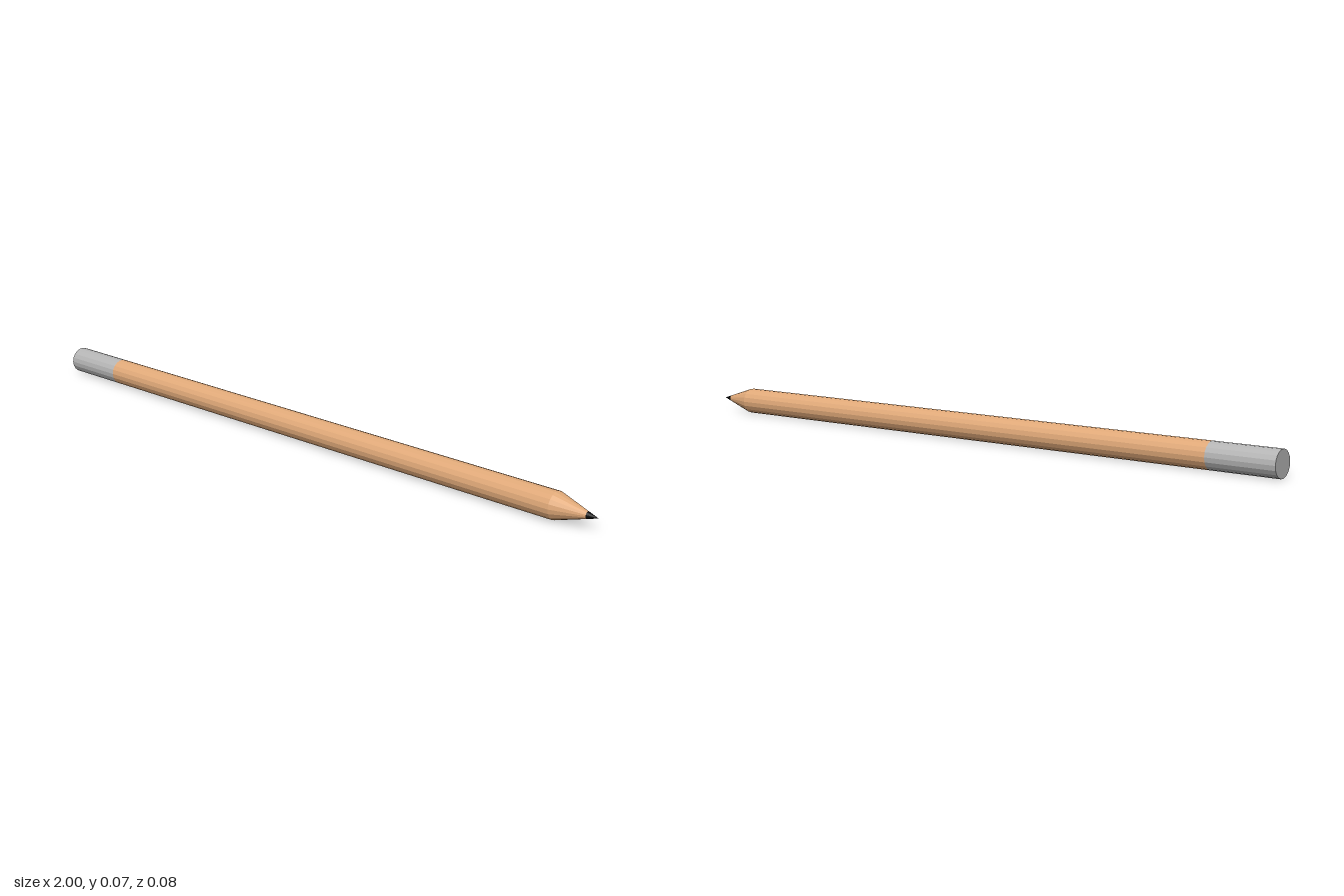
import * as THREE from 'three';

const RADIUS = 0.038;
const SIDES = 18;

const makeMaterial = (name, color) => {
  const material = new THREE.MeshStandardMaterial({ color, flatShading: true });
  material.name = name;
  return material;
};

// A round section lying along x, with a radius for each end
function section(name, x0, x1, r0, r1, material, open) {
  const geometry = new THREE.CylinderGeometry(r1, r0, x1 - x0, SIDES, 1, open);
  geometry.rotateZ(-Math.PI / 2);
  geometry.translate((x0 + x1) / 2, RADIUS, 0);
  const mesh = new THREE.Mesh(geometry, material);
  mesh.name = name;
  return mesh;
}

export function createModel() {
  const wood = makeMaterial('wood', 0xdfa878);
  const metal = makeMaterial('metal', 0xb4b4b4);
  const graphite = makeMaterial('graphite', 0x050505);

  const pencil = new THREE.Group();
  pencil.name = 'pencil';
  pencil.add(
    section('endCap', -1, -0.8, RADIUS, RADIUS, metal, false),
    section('shaft', -0.8, 0.875, RADIUS, RADIUS, wood, true),
    // Sharpened end, tapering evenly from wood to lead
    section('sharpenedWood', 0.875, 0.968, RADIUS, 0.0097, wood, true),
    section('leadTip', 0.968, 1, 0.0097, 0, graphite, true)
  );
  return pencil;
}
